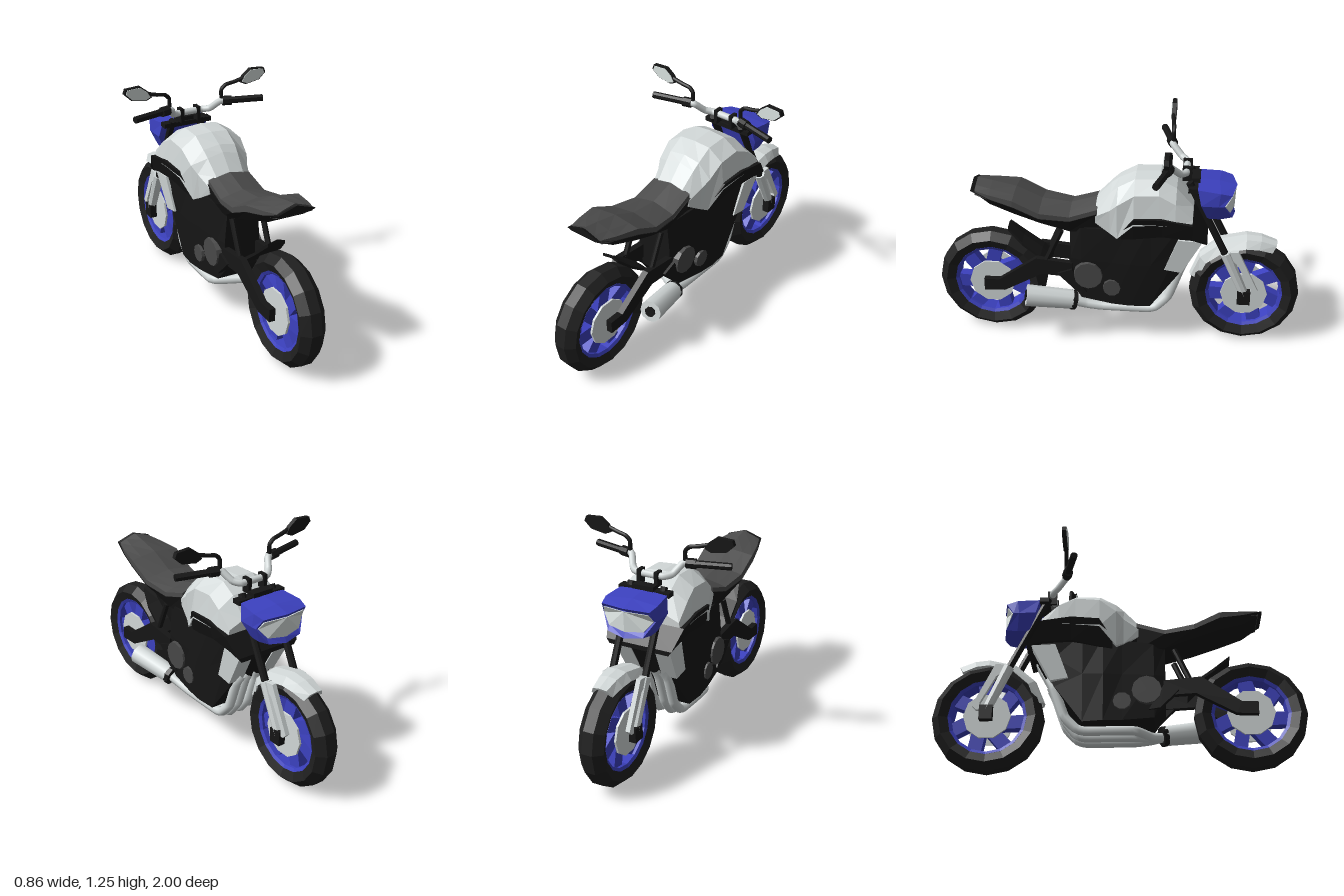
import * as THREE from 'three';

const mat = (name, color) => Object.assign(new THREE.MeshStandardMaterial({ color }), { name });
const M = {
  black: mat('black plastic', 0x161616), tyre: mat('tyre rubber', 0x1f1f1f),
  seat: mat('seat cover', 0x4b4b4b), cover: mat('engine cover grey', 0x484848),
  silver: mat('silver paint', 0xd2d8d8), blue: mat('blue paint', 0x3c41c0), glass: mat('lens and mirror', 0xdde5e3),
};
const V = (p) => new THREE.Vector3(...p);

export function createModel() {
  const root = new THREE.Group();
  const add = (name, geo, m, parent = root, smooth = false) => {
    let g = geo;
    if (!smooth) { g = geo.index ? geo.toNonIndexed() : geo; g.computeVertexNormals(); }
    const mesh = new THREE.Mesh(g, m);
    mesh.name = name;
    parent.add(mesh);
    return mesh;
  };

  // Closed skin through mirrored half outlines, ordered from the tail (+z) to the nose (-z)
  const loft = (sections) => {
    const rings = sections.map((h) => [...h, ...h.slice(1, -1).reverse().map(([x, y, z]) => [-x, y, z])]);
    const out = [], n = rings[0].length, tri = (...p) => p.forEach((q) => out.push(...q));
    for (let s = 0; s + 1 < rings.length; s++) {
      for (let i = 0; i < n; i++) {
        const a = rings[s], b = rings[s + 1], j = (i + 1) % n;
        tri(a[i], a[j], b[i]);
        tri(a[j], b[j], b[i]);
      }
    }
    const a = rings[0], b = rings[rings.length - 1];
    for (let i = 1; i + 1 < n; i++) { tri(a[0], a[i + 1], a[i]); tri(b[0], b[i], b[i + 1]); }
    return new THREE.BufferGeometry().setAttribute('position', new THREE.Float32BufferAttribute(out, 3));
  };
  const at = (z, pts) => pts.map(([x, y]) => [x, y, z]);

  // Side outline given as [z, y], extruded from x0 to x1
  const slab = (pts, x0, x1) => new THREE.ExtrudeGeometry(
    new THREE.Shape(pts.map(([z, y]) => new THREE.Vector2(-z, y))), { depth: x1 - x0, bevelEnabled: false })
    .rotateY(Math.PI / 2).translate(x0, 0, 0);
  const box = (w, h, d, x, y, z) => new THREE.BoxGeometry(w, h, d).translate(x, y, z);
  const rod = (a, b, r0, r1 = r0, sides = 8) => {
    const d = V(b).sub(V(a));
    return new THREE.CylinderGeometry(r1, r0, d.length(), sides)
      .applyQuaternion(new THREE.Quaternion().setFromUnitVectors(new THREE.Vector3(0, 1, 0), d.clone().normalize()))
      .translate(...V(a).addScaledVector(d, 0.5).toArray());
  };
  const tube = (pts, r, seg = 24) =>
    new THREE.TubeGeometry(new THREE.CatmullRomCurve3(pts.map(V), false, 'catmullrom', 0.2), seg, r, 8);

  // Wheels
  const ring = (pts) => new THREE.LatheGeometry(pts.map((p) => new THREE.Vector2(...p)), 16).rotateZ(Math.PI / 2);
  const blade = new THREE.Shape([[-0.045, 0.08], [0.03, 0.08], [0.062, 0.195], [-0.015, 0.2]].map((p) => new THREE.Vector2(...p)));
  for (const [name, z] of [['frontWheel', -0.7], ['rearWheel', 0.7]]) {
    const w = new THREE.Group();
    w.name = name;
    w.position.set(0, 0.303, z);
    root.add(w);
    add('tyre', ring([[0.205, -0.05], [0.26, -0.073], [0.3, -0.03], [0.3, 0.03],
      [0.26, 0.073], [0.205, 0.05], [0.205, -0.05]]), M.tyre, w);
    add('rim', ring([[0.195, -0.045], [0.212, -0.054], [0.212, 0.054], [0.195, 0.045], [0.195, -0.045]]), M.blue, w);
    add('hub', new THREE.CylinderGeometry(0.09, 0.09, 0.1, 10).rotateZ(Math.PI / 2), M.blue, w);
    for (const s of [-1, 1]) {
      add('brakeDisc', new THREE.CylinderGeometry(0.128, 0.128, 0.012, 10).rotateZ(Math.PI / 2).translate(s * 0.056, 0, 0), M.silver, w);
    }
    for (let i = 0; i < 7; i++) {
      add('spoke', new THREE.ExtrudeGeometry(blade, { depth: 0.06, bevelEnabled: false }).translate(0, 0, -0.03)
        .rotateY(Math.PI / 2).rotateX((i / 7) * Math.PI * 2), M.blue, w);
    }
  }

  // Tank
  const tank = [[0.11, 0.835, 0.08, 0.82, 0.125, 0.77, 0.12, 0.73], [0.03, 0.92, 0.09, 0.9, 0.15, 0.82, 0.14, 0.68],
    [-0.01, 0.95, 0.095, 0.935, 0.17, 0.86, 0.16, 0.66], [-0.1, 0.992, 0.095, 0.985, 0.18, 0.925, 0.195, 0.76],
    [-0.23, 0.998, 0.095, 0.99, 0.182, 0.935, 0.2, 0.77], [-0.32, 0.95, 0.1, 0.945, 0.19, 0.89, 0.205, 0.77],
    [-0.41, 0.85, 0.1, 0.845, 0.19, 0.81, 0.2, 0.76]];
  add('tank', loft(tank.map(([z, t, x1, y1, x2, y2, x3, y3]) =>
    at(z, [[0, t], [x1, y1], [x2, y2], [x3, y3], [0, y3]]))), M.silver);

  // Black shroud under the tank: z, top, bottom, upper and lower half width
  const shroud = [[-0.03, 0.7, 0.65, 0.162, 0.145], [-0.1, 0.8, 0.66, 0.206, 0.155], [-0.25, 0.81, 0.69, 0.214, 0.172],
    [-0.41, 0.785, 0.68, 0.22, 0.178], [-0.49, 0.68, 0.655, 0.19, 0.172]];
  add('shroud', loft(shroud.map(([z, t, b, w, v]) => at(z, [[0, t], [w, t], [v, b], [0, b]]))), M.black);

  // Seat over the tail: z, seat top, tail bottom, half width, drop of the seat edge
  const tail = [[0.77, 0.915, 0.87, 0.1, 0.036], [0.68, 0.9, 0.805, 0.125, 0.032], [0.55, 0.872, 0.765, 0.152, 0.02],
    [0.41, 0.808, 0.715, 0.15, 0.025], [0.25, 0.79, 0.663, 0.13, 0.03], [0.1, 0.838, 0.66, 0.122, 0.03]];
  add('seat', loft(tail.map(([z, t, , w, e], i) =>
    at(i ? z : z - 0.01, [[0, t], [w * 0.6, t - e * 0.55], [w, t - e], [w, t - 0.06], [0, t - 0.06]]))), M.seat);
  add('tailFairing', loft([...tail, [0.02, 0.77, 0.65, 0.13]].map(([z, t, b, w], i) => {
    const y = i ? t - 0.055 : t - 0.036;
    return at(i ? z : z + 0.012, [[0, i ? y : t - 0.002], [w + 0.005, y], [w * 0.8, b], [0, b]]);
  })), M.black);

  // Engine: z, top, top width, middle y, middle width, bottom, bottom width
  const engine = [[0.25, 0.67, 0.09, 0.5, 0.105, 0.34, 0.095], [0.19, 0.69, 0.11, 0.5, 0.12, 0.26, 0.115],
    [0.02, 0.7, 0.13, 0.5, 0.135, 0.24, 0.135], [-0.08, 0.72, 0.14, 0.5, 0.152, 0.238, 0.145],
    [-0.19, 0.74, 0.15, 0.5, 0.15, 0.235, 0.135],
    [-0.34, 0.74, 0.16, 0.6, 0.145, 0.44, 0.125], [-0.45, 0.72, 0.16, 0.68, 0.15, 0.65, 0.14]];
  add('engine', loft(engine.map(([z, t, tw, my, mw, b, bw]) =>
    at(z, [[0, t], [tw, t], [mw, my], [bw, b], [0, b]]))), M.black);

  // Exhaust headers, collector and muffler
  [-0.09, -0.035, 0.035, 0.09].forEach((x, i) => {
    const y = i === 1 || i === 2 ? 0.185 : 0.2;
    add('exhaustHeader', tube([[x * 0.8, 0.5, -0.37], [x, 0.45, -0.345], [x, 0.28, -0.285], [x, y + 0.01, -0.22],
      [x, y - 0.003, -0.17], [x, y - 0.003, 0.08], [0.07 + x * 0.3, 0.21, 0.17], [0.115, 0.235, 0.24]], 0.026, 36), M.silver, root, true);
  });
  add('exhaustCollar', rod([0.11, 0.236, 0.225], [0.118, 0.243, 0.25], 0.056), M.black);
  add('muffler', rod([0.117, 0.243, 0.24], [0.168, 0.286, 0.49], 0.054, 0.061, 10), M.silver, root, true);
  add('mufflerTip', rod([0.166, 0.284, 0.48], [0.1695, 0.2875, 0.497], 0.03), M.black);

  // Headlight: blue bowl with a recessed lens
  add('headlight', loft([
    [[0, 0.965, -0.42], [0.135, 0.955, -0.43], [0.15, 0.87, -0.45], [0.11, 0.78, -0.485], [0, 0.772, -0.485]],
    [[0, 0.955, -0.54], [0.148, 0.945, -0.55], [0.152, 0.87, -0.54], [0.11, 0.78, -0.55], [0, 0.772, -0.56]],
    [[0, 0.935, -0.635], [0.135, 0.93, -0.61], [0.15, 0.87, -0.57], [0.1, 0.79, -0.615], [0, 0.775, -0.63]],
    [[0, 0.92, -0.62], [0.128, 0.916, -0.597], [0.143, 0.87, -0.57], [0.1, 0.815, -0.595], [0, 0.805, -0.615]],
  ]), M.blue);
  const lens = [[0, 0.917, -0.624], [0.126, 0.913, -0.601], [0.141, 0.87, -0.573], [0.099, 0.818, -0.599], [0, 0.808, -0.619]];
  add('headlightLens', loft([lens, lens.map(([x, y, z]) => [x, y, z - 0.006])]), M.glass);

  // Front mudguard wrapped round the wheel: angle from the top, radius, half width
  const guard = [[74, 0.315, 0.05], [50, 0.33, 0.068], [26, 0.336, 0.08], [0, 0.337, 0.082], [-14, 0.34, 0.075], [-29, 0.345, 0.06]];
  add('frontMudguard', loft(guard.map(([deg, R, w]) => {
    const a = THREE.MathUtils.degToRad(deg);
    return [[0, R], [w * 0.65, R - 0.008], [w, R - 0.05], [w - 0.01, R - 0.05], [w * 0.6, R - 0.02], [0, R - 0.015]]
      .map(([x, r]) => [x, 0.303 + r * Math.cos(a), -0.7 + r * Math.sin(a)]);
  })), M.silver);

  // Steering clamp and handlebar
  add('topClamp', box(0.29, 0.025, 0.05, 0, 0.953, -0.405), M.black);
  add('gauge', box(0.12, 0.025, 0.05, 0, 0.975, -0.415), M.black);
  add('handlebar', tube([[-0.19, 1.085, -0.275], [-0.15, 1.085, -0.285], [-0.115, 1.035, -0.335], [-0.075, 1.025, -0.365],
    [0.075, 1.025, -0.365], [0.115, 1.035, -0.335], [0.15, 1.085, -0.285], [0.19, 1.085, -0.275]], 0.019, 40), M.silver, root, true);

  const mirrorShape = [[0.27, 1.18], [0.29, 1.215], [0.335, 1.25], [0.42, 1.245], [0.43, 1.218], [0.39, 1.18], [0.305, 1.165]];
  const plate = (k, depth, z) => new THREE.ExtrudeGeometry(new THREE.Shape(mirrorShape.map(([x, y]) =>
    new THREE.Vector2(0.35 + (x - 0.35) * k, 1.208 + (y - 1.208) * k))), { depth, bevelEnabled: false }).translate(0, 0, z);

  for (const s of [1, -1]) {
    const p = ([x, y, z]) => [s * x, y, z];
    const side = (pts, x0, x1) => (s > 0 ? slab(pts, x0, x1) : slab(pts, -x1, -x0));

    // Fork legs
    add('forkTube', rod(p([0.095, 0.98, -0.385]), p([0.095, 0.53, -0.605]), 0.02), M.black);
    add('forkLower', rod(p([0.095, 0.57, -0.59]), p([0.095, 0.31, -0.705]), 0.031, 0.025), M.silver);
    add('forkBrace', side([[-0.57, 0.575], [-0.66, 0.585], [-0.775, 0.345], [-0.755, 0.322], [-0.73, 0.32], [-0.735, 0.36],
      [-0.655, 0.51]], 0.085, 0.11), M.silver);
    add('axleBlock', box(0.04, 0.08, 0.07, s * 0.1, 0.305, -0.7), M.black);

    // Bar clamp, grip and mirror
    add('barRiser', box(0.02, 0.08, 0.05, s * 0.05, 1.01, -0.37), M.black);
    add('switchBlock', rod(p([0.165, 1.085, -0.283]), p([0.215, 1.085, -0.27]), 0.027), M.black);
    add('grip', rod(p([0.2, 1.085, -0.275]), p([0.39, 1.085, -0.225]), 0.019), M.black);
    add('mirrorStem', tube([[0.16, 1.09, -0.285], [0.16, 1.15, -0.285], [0.185, 1.175, -0.285], [0.235, 1.185, -0.28],
      [0.29, 1.2, -0.275]].map(p), 0.011), M.black, root, true);
    const mirror = new THREE.Group();
    mirror.name = 'mirror';
    root.add(mirror);
    for (const [name, k, d, z, m] of [['mirrorShell', 1, 0.024, -0.29, M.black], ['mirrorGlass', 0.88, 0.004, -0.266, M.glass]]) {
      const g = plate(k, d, z);
      if (s < 0) g.rotateY(Math.PI).translate(0, 0, 2 * z + d);
      add(name, g, m, mirror);
    }

    // Radiator cowl wrapping the front corner, leaning out with height
    const panel = side([[-0.335, 0.67], [-0.465, 0.665], [-0.358, 0.465], [-0.265, 0.48]], 0.06, 0.15);
    const pos = panel.attributes.position;
    for (let i = 0; i < pos.count; i++) pos.setX(i, pos.getX(i) + s * (pos.getY(i) - 0.465) * 0.08);
    add('radiatorCowl', panel, M.silver);

    // Engine covers
    add('clutchCover', rod(p([0.1, 0.41, 0.15]), p([0.14, 0.41, 0.15]), 0.085, 0.078, 12), M.cover);
    add('pumpCover', rod(p([0.1, 0.345, 0.02]), p([0.148, 0.345, 0.02]), 0.053, 0.048, 10), M.cover);

    // Swingarm, rear subframe bar and footrest bracket
    add('swingarm', side([[0.735, 0.275], [0.735, 0.345], [0.65, 0.345], [0.44, 0.49], [0.24, 0.47], [0.24, 0.385],
      [0.41, 0.395], [0.62, 0.28]], 0.08, 0.115), M.black);
    add('subframeBar', rod(p([0.09, 0.66, 0.3]), p([0.09, 0.47, 0.385]), 0.016), M.black);
    add('footBracket', side([[0.24, 0.44], [0.32, 0.41], [0.22, 0.31], [0.16, 0.3]], 0.09, 0.13), M.black);
  }

  // Rear mudguard over the tyre
  add('rearMudguard', loft([[0.6, 0.65, 0.05], [0.52, 0.575, 0.075], [0.42, 0.5, 0.08], [0.37, 0.45, 0.08]].map(([z, y, w]) =>
    at(z, [[0, y], [w, y - 0.012], [w, y - 0.03], [0, y - 0.018]]))), M.black);
  return root;
}
